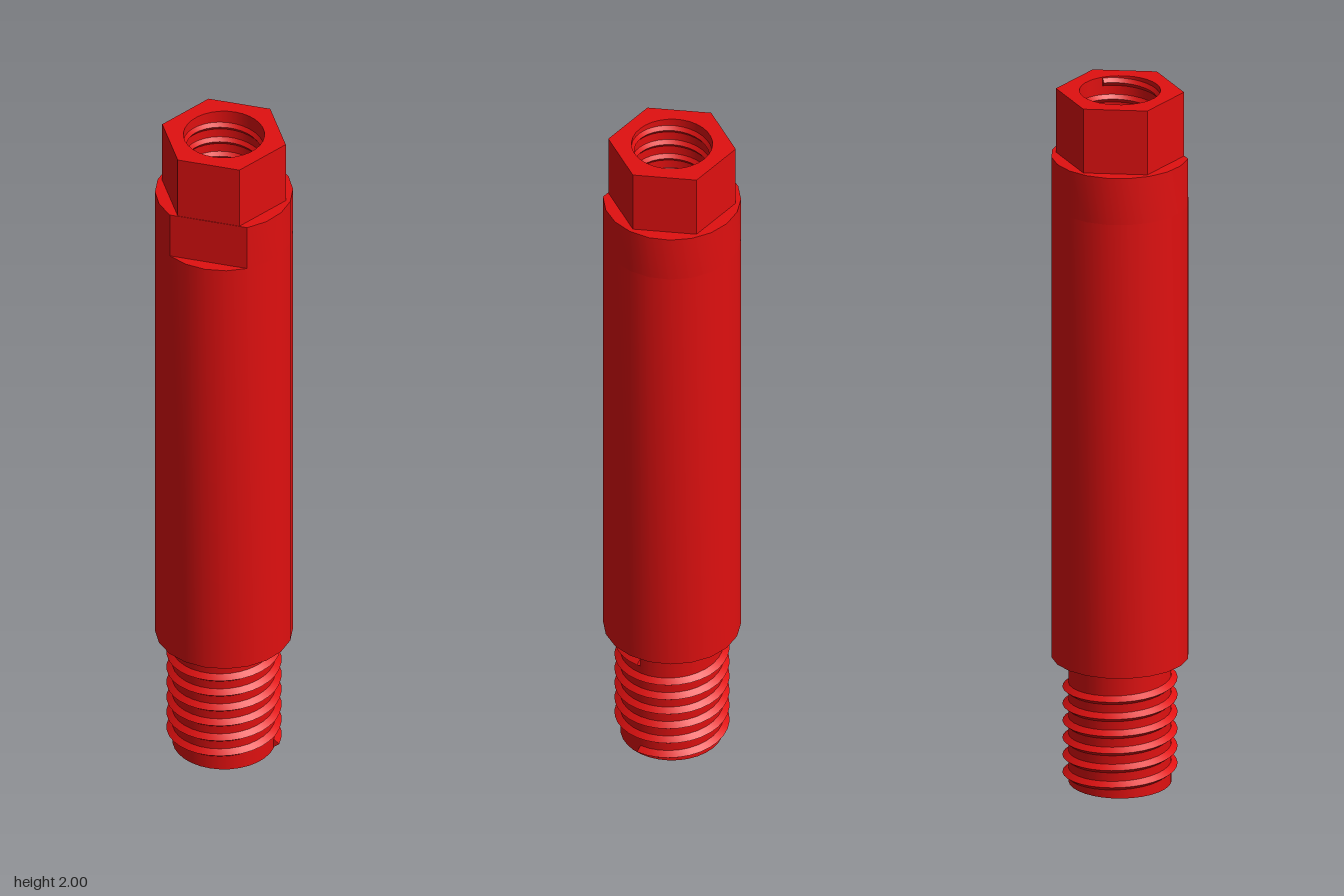
import * as THREE from 'three';
import { toCreasedNormals } from 'three/addons/utils/BufferGeometryUtils.js';

const TAU = Math.PI * 2;
const BORE = 0.11, BORE_FLOOR = 1.63, SIDES = 32;

// Points of a regular polygon
function ring(radius, n) {
  return Array.from({ length: n }, (_, i) => new THREE.Vector2(
    radius * Math.cos((i / n) * TAU), radius * Math.sin((i / n) * TAU)));
}

// Upright prism with the round bore through it
function boredPrism(points, y0, y1) {
  const shape = new THREE.Shape(points);
  shape.holes.push(new THREE.Path(ring(BORE, SIDES)));
  const geo = new THREE.ExtrudeGeometry(shape, { depth: y1 - y0, bevelEnabled: false });
  geo.rotateX(-Math.PI / 2).translate(0, y0, 0);
  return toCreasedNormals(geo, 0.45);
}

// Triangular ridge swept up a right-handed helix; a negative half height faces it inward
function thread(base, crest, half, y0, pitch, turns) {
  const perTurn = 32, steps = Math.round(turns * perTurn), pos = [], index = [];
  for (let i = 0; i <= steps; i++) {
    const a = (i / perTurn) * TAU, y = y0 + (i / perTurn) * pitch;
    for (const [r, dy] of [[base, -half], [crest, 0], [base, half]]) {
      pos.push(r * Math.cos(a), y + dy, -r * Math.sin(a));
    }
    if (i === steps) break;
    for (let k = 0; k < 2; k++) {
      const p = i * 3 + k, q = p + 3;
      index.push(p, q, p + 1, q, q + 1, p + 1);
    }
  }
  const e = steps * 3;
  index.push(0, 1, 2, e, e + 2, e + 1);
  const geo = new THREE.BufferGeometry();
  geo.setAttribute('position', new THREE.Float32BufferAttribute(pos, 3));
  geo.setIndex(index);
  return toCreasedNormals(geo, 0.45);
}

export function createModel() {
  const group = new THREE.Group();
  const material = new THREE.MeshStandardMaterial({ color: 0xe01010 });
  const add = (name, geo) => {
    const mesh = new THREE.Mesh(geo, material);
    mesh.name = name;
    group.add(mesh);
  };

  // Long body; its upper end has a flat cut at the front
  const outline = ring(0.187, 20);
  const flat = 0.152, flatX = 0.109;
  const cutOutline = [];
  outline.forEach((p, i) => {
    // shape y runs towards the back
    if (p.y > -flat) cutOutline.push(p);
    else if (i === 14) cutOutline.push(new THREE.Vector2(-flatX, -flat), new THREE.Vector2(flatX, -flat));
  });
  cutOutline.sort((a, b) => Math.atan2(a.y, a.x) - Math.atan2(b.y, b.x));
  add('body', boredPrism(outline, 0.365, 1.68));
  add('bodyWithFlat', boredPrism(cutOutline, 1.68, 1.815));

  // Hexagonal head
  add('hexHead', boredPrism(ring(0.174, 6), 1.815, 2));

  // Stepped floor of the bore with a small pilot hole
  const floor = [[BORE, 0], [0.057, 0], [0.038, -0.03], [0.038, -0.12], [0.028, -0.13], [0, -0.13]]
    .map(([r, y]) => new THREE.Vector2(r, BORE_FLOOR + y));
  add('boreFloor', toCreasedNormals(new THREE.LatheGeometry(floor, SIDES), 0.45));
  add('innerThread', thread(0.112, 0.102, -0.014, 1.65, 0.048, 7));

  // Threaded shank at the foot
  const shank = new THREE.CylinderGeometry(0.14, 0.14, 0.37, SIDES);
  add('shank', shank.translate(0, 0.185, 0));
  add('outerThread', thread(0.138, 0.156, 0.014, 0.0165, 0.0495, 6));

  return group;
}
